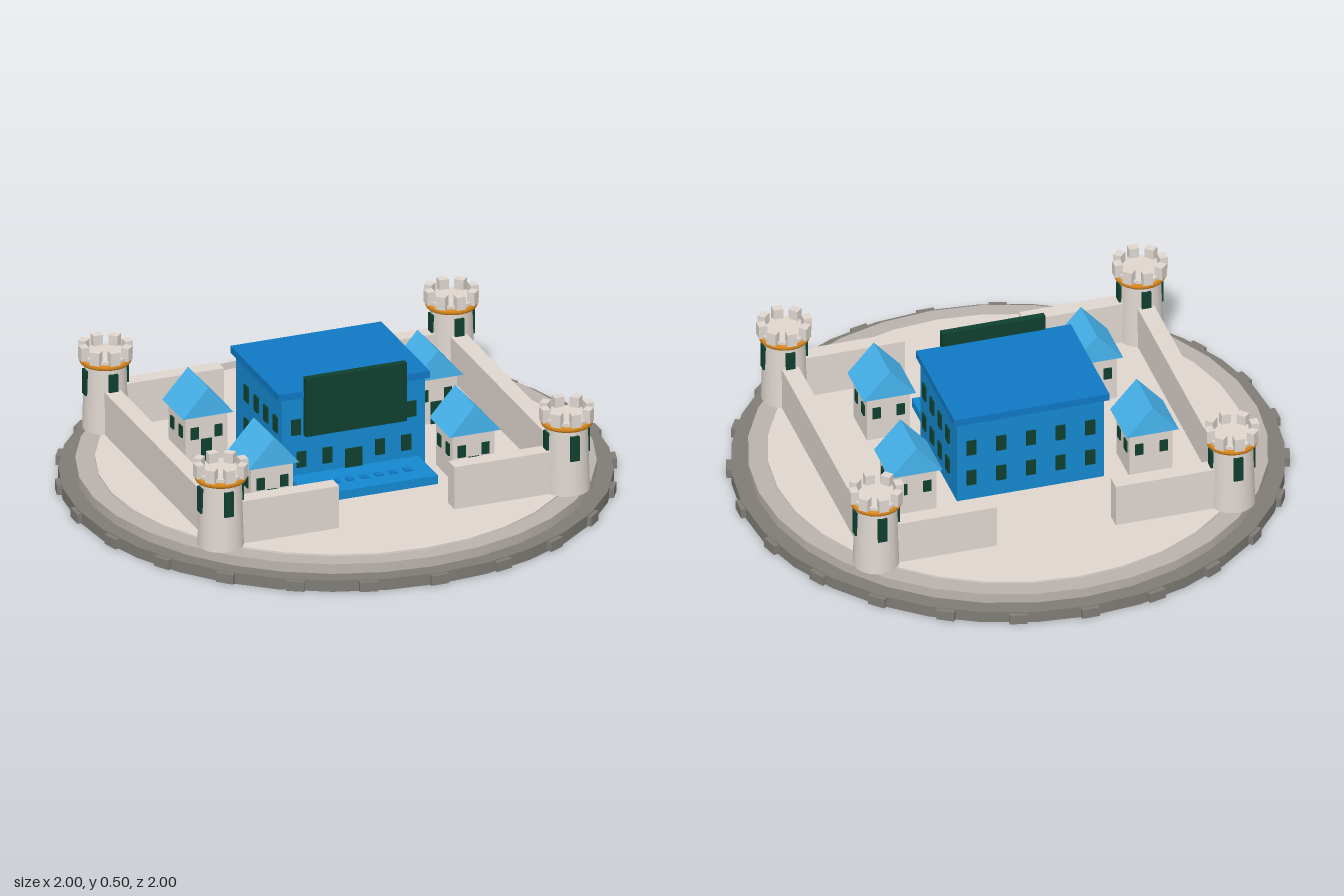
import * as THREE from 'three';

const mat = (color) => new THREE.MeshStandardMaterial({ color });

export function createModel() {
  const root = new THREE.Group();
  root.name = 'castle';
  const M = {
    rim: mat(0x7f7c76), ledge: mat(0xbab2ad), stone: mat(0xdfd6cf), orange: mat(0xd8861c),
    green: mat(0x0f4030), blue: mat(0x1588d0), darkBlue: mat(0x1078c4), roof: mat(0x46b4ee),
  };
  const GROUND = 0.087;

  const add = (parent, name, geo, material, x = 0, y = 0, z = 0, ry = 0) => {
    const mesh = new THREE.Mesh(geo, material);
    mesh.name = name;
    mesh.position.set(x, y, z);
    mesh.rotation.y = ry;
    parent.add(mesh);
    return mesh;
  };
  // Box given by its bottom height
  const box = (parent, name, material, w, h, d, x, y0, z, ry = 0) =>
    add(parent, name, new THREE.BoxGeometry(w, h, d), material, x, y0 + h / 2, z, ry);
  const disc = (parent, name, material, r0, r1, y0, y1, sides) =>
    add(parent, name, new THREE.CylinderGeometry(r1, r0, y1 - y0, sides), material, 0, (y0 + y1) / 2, 0);
  const group = (name, x = 0, y = 0, z = 0) => {
    const g = new THREE.Group();
    g.name = name;
    g.position.set(x, y, z);
    root.add(g);
    return g;
  };

  // Stepped round base with stones set in the rim
  const base = group('base');
  disc(base, 'rimDisc', M.rim, 0.985, 0.985, 0, 0.043, 32);
  disc(base, 'ledge', M.ledge, 0.925, 0.925, 0.043, 0.08, 32);
  disc(base, 'courtyard', M.stone, 0.855, 0.855, 0.08, GROUND, 32);
  for (let i = 0; i < 24; i++) {
    const a = (i / 24) * Math.PI * 2;
    box(base, 'rimStone', M.rim, 0.065, 0.036, 0.04, Math.sin(a) * 0.98, 0.004, Math.cos(a) * 0.98, a);
  }

  // Curtain walls, open in the middle of the front and back
  const walls = group('walls');
  const TX = 0.66, TZ = 0.553, wallH = 0.25 - GROUND;
  for (const sx of [-1, 1]) {
    box(walls, 'sideWall', M.stone, 0.062, wallH, TZ * 2, sx * TX, GROUND, 0);
    for (const sz of [-1, 1])
      box(walls, 'gateWall', M.stone, TX - 0.22, wallH, 0.06, sx * (TX + 0.22) / 2, GROUND, sz * TZ);
  }

  // Corner towers
  for (const sx of [-1, 1]) for (const sz of [-1, 1]) {
    const t = group('tower', sx * TX, 0, sz * TZ);
    disc(t, 'towerShaft', M.stone, 0.083, 0.075, GROUND, 0.335, 20);
    const ring = add(t, 'towerRing', new THREE.TorusGeometry(0.082, 0.012, 8, 24), M.orange, 0, 0.347, 0);
    ring.rotation.x = Math.PI / 2;
    disc(t, 'towerTop', M.stone, 0.085, 0.085, 0.335, 0.37, 20);
    for (let i = 0; i < 8; i++) {
      const a = (i / 8) * Math.PI * 2;
      box(t, 'merlon', M.stone, 0.036, 0.05, 0.03, Math.sin(a) * 0.083, 0.358, Math.cos(a) * 0.083, a);
    }
    for (let i = 0; i < 4; i++) {
      const a = (i / 4) * Math.PI * 2;
      box(t, 'towerWindow', M.green, 0.034, 0.095, 0.012, Math.sin(a) * 0.077, 0.222, Math.cos(a) * 0.077, a);
    }
  }

  // Main hall
  const hall = group('hall');
  const HZ = -0.052, HW = 0.273, HD = 0.22;
  box(hall, 'hallBody', M.blue, HW * 2, 0.42 - GROUND, HD * 2, 0, GROUND, HZ);
  box(hall, 'hallRoof', M.darkBlue, 0.575, 0.027, 0.465, 0, 0.418, HZ - 0.004);
  box(hall, 'signBoard', M.green, 0.385, 0.225, 0.025, 0, 0.275, 0.184);
  box(hall, 'door', M.green, 0.065, 0.105, 0.012, 0, GROUND, HZ + HD);
  for (const y of [0.15, 0.277]) {
    for (let i = -2; i <= 2; i++) {
      if (y > 0.2 || i !== 0)
        box(hall, 'frontWindow', M.green, 0.036, 0.06, 0.012, i * (y > 0.2 ? 0.11 : 0.1), y, HZ + HD);
      box(hall, 'backWindow', M.green, 0.036, 0.06, 0.012, i * 0.11, y, HZ - HD);
    }
    for (const sx of [-1, 1]) for (let i = 0; i < 4; i++)
      box(hall, 'sideWindow', M.green, 0.012, 0.06, 0.038, sx * HW, y, 0.113 - i * 0.093);
  }

  // Front terrace with a row of small studs
  const terrace = group('terrace');
  box(terrace, 'terraceSlab', M.blue, 0.495, 0.033, 0.19, 0, GROUND, 0.26);
  for (let i = -3; i <= 3; i++)
    box(terrace, 'terraceStud', M.darkBlue, 0.028, 0.006, 0.028, i * 0.055, 0.119, 0.272);

  // Cottages with gable roofs, ridge running front to back
  const gable = new THREE.Shape();
  gable.moveTo(-0.0975, 0);
  gable.lineTo(0.0975, 0);
  gable.lineTo(0, 0.11);
  const roofGeo = new THREE.ExtrudeGeometry(gable, { depth: 0.195, bevelEnabled: false });
  roofGeo.translate(0, 0, -0.0975);
  for (const sx of [-1, 1]) for (const [x, z] of [[0.438, -0.222], [0.384, 0.273]]) {
    const c = group('cottage', sx * x, 0, z);
    box(c, 'cottageBody', M.stone, 0.16, 0.265 - GROUND, 0.16, 0, GROUND, 0);
    add(c, 'cottageRoof', roofGeo, M.roof, 0, 0.265, 0);
    box(c, 'cottageDoor', M.green, 0.04, 0.085, 0.01, 0, GROUND, 0.08);
    for (const s of [-1, 1]) {
      for (const e of [-1, 1]) {
        box(c, 'cottageWindow', M.green, 0.03, 0.045, 0.01, s * 0.045, 0.175, e * 0.08);
        box(c, 'cottageSideWindow', M.green, 0.01, 0.045, 0.03, e * 0.08, 0.175, s * 0.04);
      }
    }
  }
  return root;
}
